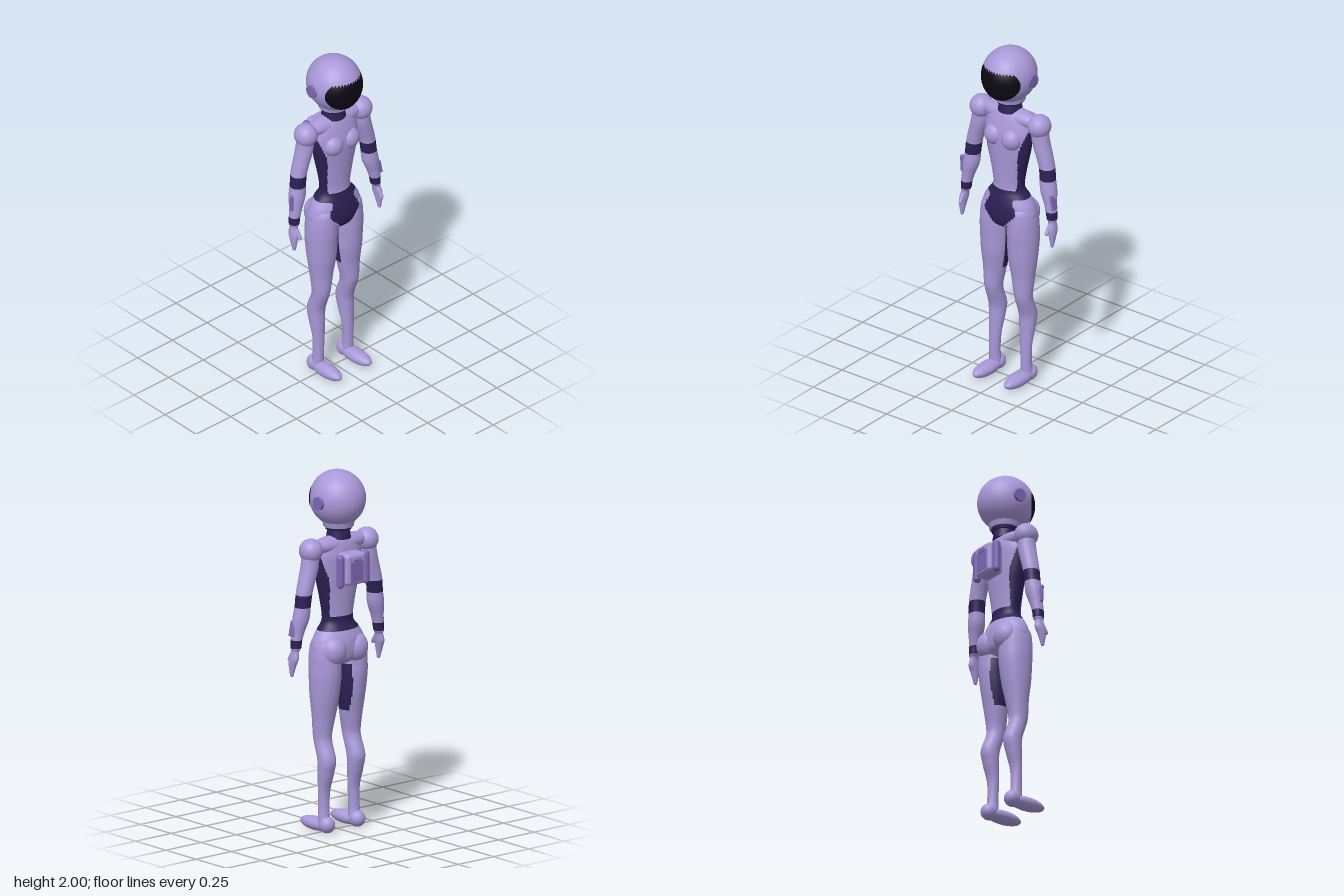
import * as THREE from 'three';
import { RoundedBoxGeometry } from 'three/addons/geometries/RoundedBoxGeometry.js';

const mat = (name, color) => Object.assign(new THREE.MeshStandardMaterial({ color }), { name });

// Smooth tube through elliptical sections [y, cx, rx, cz, rz], listed top to bottom.
// Faces whose centre satisfies isDark go to the second material group.
function loft(sections, isDark = () => false, rings = 90, seg = 64) {
  const path = new THREE.CatmullRomCurve3(sections.map(([y, cx, , cz]) => new THREE.Vector3(cx, y, cz)), false, 'catmullrom');
  const size = new THREE.CatmullRomCurve3(sections.map(([, , rx, , rz]) => new THREE.Vector3(rx, rz, 0)), false, 'catmullrom');
  const pos = [], suitFaces = [], darkFaces = [];
  for (let i = 0; i <= rings; i++) {
    const c = path.getPoint(i / rings), r = size.getPoint(i / rings);
    for (let j = 0; j < seg; j++) {
      const a = (j / seg) * Math.PI * 2;
      pos.push(c.x + Math.max(r.x, 0.0005) * Math.cos(a), c.y, c.z + Math.max(r.y, 0.0005) * Math.sin(a));
    }
  }
  for (let i = 0; i < rings; i++) {
    for (let j = 0; j < seg; j++) {
      const k = (j + 1) % seg;
      const a = i * seg + j, b = i * seg + k, c = a + seg, d = b + seg;
      const mid = [0, 1, 2].map((n) => (pos[a * 3 + n] + pos[d * 3 + n]) / 2);
      (isDark(...mid) ? darkFaces : suitFaces).push(a, b, c, b, d, c);
    }
  }
  const g = new THREE.BufferGeometry();
  g.setAttribute('position', new THREE.Float32BufferAttribute(pos, 3));
  g.setIndex([...suitFaces, ...darkFaces]);
  g.addGroup(0, suitFaces.length, 0);
  g.addGroup(suitFaces.length, darkFaces.length, 1);
  g.computeVertexNormals();
  return g;
}

// Dark areas of the suit: waist belt, front diamond, side panels, inner thighs
function bodyDark(x, y, z) {
  const ax = Math.abs(x);
  if (y > 1.125 && y < (z < -0.02 ? 1.2 : 1.17)) return true;
  if (z > 0 && y > 0.93 && y <= 1.125) return ax < (y < 1.04 ? (y - 0.93) * 0.95 : 0.105 - (y - 1.04) * 0.35);
  if (y >= 1.17 && y < 1.54) return ax > (y < 1.4 ? 0.078 + (y - 1.17) * 0.096 : 0.1 + (y - 1.4) * 0.32);
  return false;
}
const legDark = (x, y, z) =>
  bodyDark(x, y, z) || (y > 0.66 && y < 0.93 && Math.abs(x) < 0.046 && z < 0.02 && z > -0.08);
const armDark = (x, y) => (y > 1.285 && y < 1.35) || (y > 1.06 && y < 1.103);

export function createModel() {
  const root = new THREE.Group();
  root.name = 'suitedFigure';
  const suit = mat('suitLavender', 0xa898d8);
  const dark = mat('panelDarkPurple', 0x2c2054);
  const glass = mat('visorBlack', 0x0b0914);
  const accent = mat('accentPurple', 0x7f68b8);

  const add = (name, geo, material, x = 0, y = 0, z = 0) => {
    const m = new THREE.Mesh(geo, material);
    m.name = name;
    m.position.set(x, y, z);
    root.add(m);
    return m;
  };
  const ball = (name, material, x, y, z, rx, ry = rx, rz = rx) =>
    add(name, new THREE.SphereGeometry(1, 48, 32).scale(rx, ry, rz), material, x, y, z);

  // Helmet
  const H = { x: 0.148, y: 0.155, z: 0.159 };
  ball('helmet', suit, 0, 1.845, -0.003, H.x, H.y, H.z);

  // Visor: oval patch following the helmet surface
  const visor = new THREE.RingGeometry(0.001, 1, 72, 20);
  const vp = visor.attributes.position;
  for (let i = 0; i < vp.count; i++) {
    const x = vp.getX(i) * 0.132, y = vp.getY(i) * 0.104;
    const z = H.z * Math.sqrt(1 - (x / H.x) ** 2 - (y / H.y) ** 2);
    vp.setXYZ(i, x * 1.012, y * 1.012, z * 1.012);
  }
  visor.computeVertexNormals();
  add('visor', visor, glass, 0, 1.84, -0.003);

  // Neck and collar
  add('neck', new THREE.CylinderGeometry(0.056, 0.068, 0.07, 40), dark, 0, 1.662, -0.01);
  add('neckSeal', new THREE.CylinderGeometry(0.074, 0.07, 0.018, 40), dark, 0, 1.685, -0.01);
  add('collar', new THREE.CylinderGeometry(0.088, 0.082, 0.028, 48), suit, 0, 1.706, -0.01);

  // Torso and pelvis
  add('torso', loft([
    [1.65, 0, 0.05, -0.01, 0.035], [1.615, 0, 0.12, -0.01, 0.06], [1.55, 0, 0.148, -0.006, 0.078],
    [1.48, 0, 0.148, 0, 0.084], [1.4, 0, 0.136, 0, 0.081], [1.3, 0, 0.112, 0, 0.074],
    [1.2, 0, 0.094, 0, 0.068], [1.16, 0, 0.1, 0, 0.072], [1.12, 0, 0.132, -0.003, 0.087],
    [1.07, 0, 0.16, -0.005, 0.101], [1.01, 0, 0.168, -0.005, 0.104], [0.96, 0, 0.12, -0.005, 0.09],
    [0.93, 0, 0.03, -0.005, 0.04], [0.925, 0, 0.001, -0.005, 0.001],
  ], bodyDark, 150, 96), [suit, dark]);
  ball('shoulderYoke', suit, 0, 1.597, -0.012, 0.205, 0.052, 0.06);

  for (const s of [1, -1]) {
    const side = s > 0 ? 'left' : 'right';

    // Ear disc
    add(side + 'EarDisc', new THREE.CylinderGeometry(0.036, 0.036, 0.02, 32).rotateZ(Math.PI / 2), accent, s * 0.148, 1.84, -0.018);

    // Chest and seat
    ball(side + 'Chest', suit, s * 0.058, 1.485, 0.048, 0.06, 0.062, 0.058);
    ball(side + 'Buttock', suit, s * 0.076, 1.015, -0.05, 0.076, 0.085, 0.077);

    // Leg
    add(side + 'Leg', loft([
      [1.1, 0.085, 0.03, -0.005, 0.04], [1.06, 0.088, 0.07, -0.005, 0.084], [1.0, 0.09, 0.083, -0.005, 0.093],
      [0.92, 0.092, 0.086, -0.006, 0.095], [0.86, 0.092, 0.086, -0.007, 0.092], [0.76, 0.092, 0.081, -0.003, 0.082],
      [0.65, 0.096, 0.066, 0, 0.064], [0.55, 0.101, 0.052, 0.005, 0.054], [0.5, 0.102, 0.049, -0.003, 0.051],
      [0.41, 0.103, 0.05, -0.033, 0.052], [0.33, 0.104, 0.045, -0.027, 0.043], [0.23, 0.105, 0.036, -0.013, 0.03],
      [0.12, 0.107, 0.031, -0.013, 0.031], [0.05, 0.107, 0.036, -0.02, 0.036],
    ].map(([y, cx, ...r]) => [y, s * cx, ...r]), legDark, 130), [suit, dark]);
    ball(side + 'Heel', suit, s * 0.107, 0.05, -0.039, 0.044, 0.046, 0.046);
    ball(side + 'Foot', suit, s * 0.107, 0.042, 0.052, 0.046, 0.037, 0.118);

    // Arm with elbow band and wrist band, tapering into the hand
    ball(side + 'Shoulder', suit, s * 0.197, 1.585, -0.012, 0.064, 0.065, 0.067);
    add(side + 'Arm', loft([
      [1.6, 0.198, 0.045, -0.012, 0.045], [1.5, 0.207, 0.05, -0.013, 0.05], [1.4, 0.236, 0.046, -0.014, 0.047],
      [1.35, 0.248, 0.045, -0.014, 0.045], [1.29, 0.255, 0.044, -0.012, 0.044], [1.22, 0.264, 0.047, -0.008, 0.045],
      [1.15, 0.279, 0.036, -0.003, 0.036], [1.1, 0.289, 0.031, 0, 0.032], [1.06, 0.293, 0.028, 0, 0.03],
      [1.04, 0.297, 0.021, 0.002, 0.025], [1.0, 0.303, 0.021, 0.006, 0.034], [0.965, 0.306, 0.018, 0.012, 0.026],
      [0.92, 0.307, 0.012, 0.016, 0.014], [0.9, 0.307, 0.008, 0.017, 0.009], [0.895, 0.307, 0.001, 0.017, 0.001],
    ].map(([y, cx, ...r]) => [y, s * cx, ...r]), armDark, 150, 48), [suit, dark]);
    const thumb = add(side + 'Thumb', new THREE.CapsuleGeometry(0.011, 0.045, 6, 16), suit, s * 0.295, 1.005, 0.038);
    thumb.rotation.x = -0.55;

    // Backpack tank
    add(side + 'Tank', new THREE.CapsuleGeometry(0.021, 0.145, 6, 24), accent, s * 0.089, 1.472, -0.13);
  }

  // Forearm devices
  const rod = add('rightForearmRod', new THREE.CapsuleGeometry(0.011, 0.08, 6, 16), accent, -0.315, 1.2, 0.005);
  rod.rotation.z = 0.06;
  const pad = add('leftForearmPad', new RoundedBoxGeometry(0.016, 0.085, 0.04, 3, 0.005), accent, 0.309, 1.165, 0.008);
  pad.rotation.z = 0.2;

  // Backpack
  add('backpack', new RoundedBoxGeometry(0.138, 0.175, 0.095, 5, 0.022), suit, 0, 1.477, -0.116);
  add('backpackPanel', new THREE.BoxGeometry(0.085, 0.11, 0.008), accent, 0, 1.465, -0.163);
  add('backpackVent', new THREE.BoxGeometry(0.05, 0.02, 0.009), accent, 0, 1.525, -0.167);

  return root;
}
